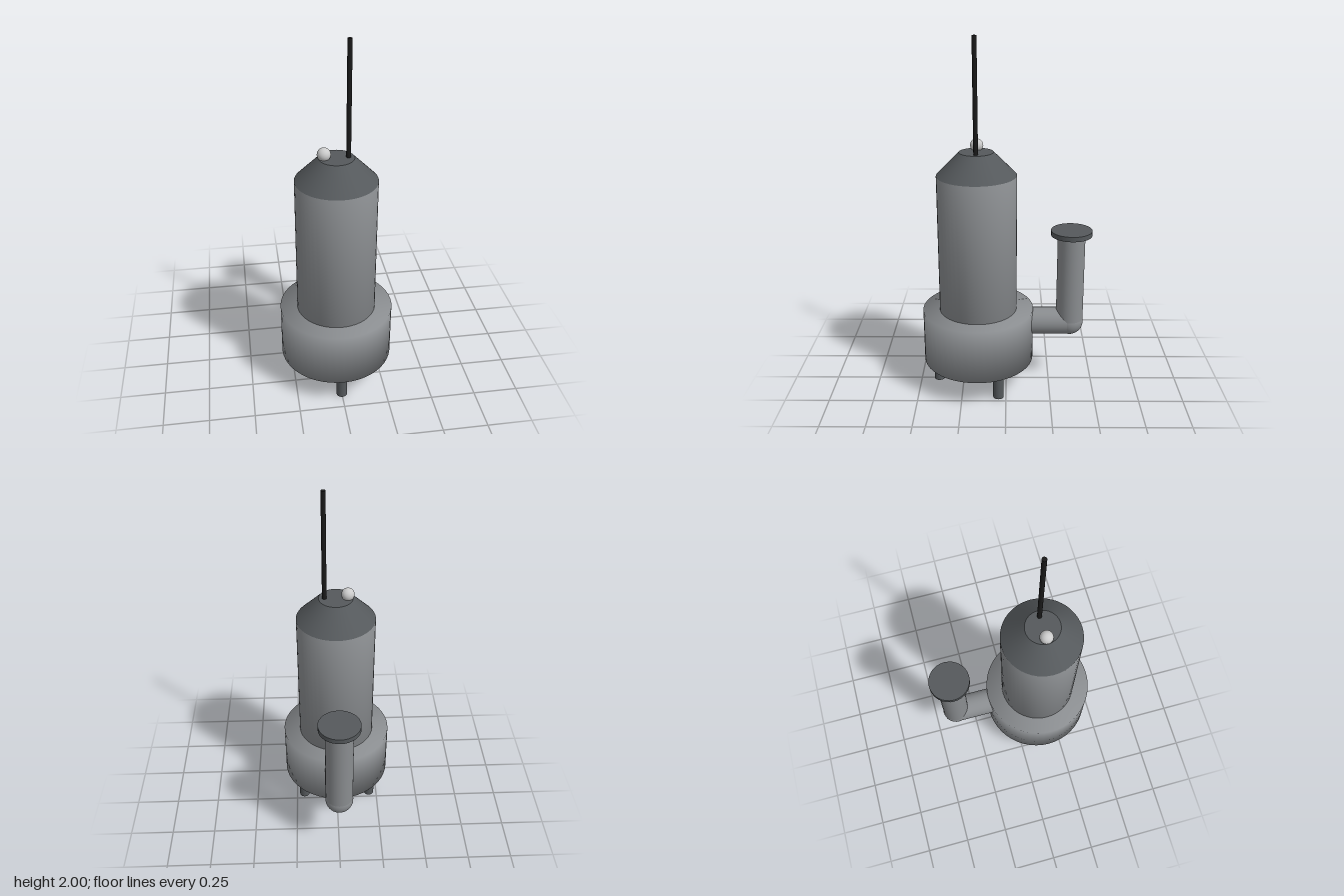
import * as THREE from 'three';

const AXIS_Z = 0.16;  // pump axis
const PIPE_Z = -0.365; // riser axis
const PIPE_Y = 0.382;

const paint = (color) => new THREE.MeshStandardMaterial({ color });
const steel = paint(0x8a8d90);
const dark = paint(0x55595c);
const black = paint(0x1a1a1a);
const bright = paint(0xcccccc);

export function createModel() {
  const model = new THREE.Group();

  const add = (name, geometry, material, x, y, z, parent = model) => {
    const mesh = new THREE.Mesh(geometry, material);
    mesh.name = name;
    mesh.position.set(x, y, z);
    parent.add(mesh);
    return mesh;
  };

  // Upright cylinder or cone frustum between two heights
  const column = (name, rTop, rBottom, y0, y1, x, z, material, segments = 32) =>
    add(name, new THREE.CylinderGeometry(rTop, rBottom, y1 - y0, segments), material, x, (y0 + y1) / 2, z);

  // Softly shaded closed drum turned from a profile
  const drum = (name, radius, y0, y1) => {
    const profile = [[0, y0], [radius, y0], [radius, y1], [0, y1]].map(([r, y]) => new THREE.Vector2(r, y));
    return add(name, new THREE.LatheGeometry(profile, 48), steel, 0, 0, AXIS_Z);
  };

  // Pump body
  drum('pumpHousing', 0.315, 0.155, 0.465);
  drum('motorBody', 0.22, 0.465, 1.255);
  column('topCone', 0.094, 0.22, 1.255, 1.383, 0, AXIS_Z, dark, 48);

  // Cable and float ball on the cap
  column('powerCable', 0.0125, 0.0125, 1.37, 2, 0.0625, AXIS_Z, black, 16);
  add('floatBall', new THREE.SphereGeometry(0.036, 24, 16), bright, -0.065, 1.405, AXIS_Z);

  // Discharge pipe: outlet, elbow, riser and flange
  const outlet = add('outletPipe', new THREE.CylinderGeometry(0.077, 0.077, 0.265, 32), steel, 0, PIPE_Y, -0.2325);
  outlet.rotation.x = Math.PI / 2;
  add('pipeElbow', new THREE.SphereGeometry(0.079, 32, 20), steel, 0, PIPE_Y, PIPE_Z);
  column('riserPipe', 0.077, 0.077, PIPE_Y, 0.91, 0, PIPE_Z, steel);
  column('pipeFlange', 0.115, 0.115, 0.91, 0.938, 0, PIPE_Z, dark);

  // Three legs, one at the front
  for (let i = 0; i < 3; i++) {
    const a = (i * Math.PI * 2) / 3;
    column('leg', 0.03, 0.03, 0, 0.16, 0.235 * Math.sin(a), AXIS_Z + 0.235 * Math.cos(a), dark, 20);
  }

  // Impeller with six blades
  const impeller = new THREE.Group();
  impeller.name = 'impeller';
  impeller.position.set(0, 0.08, AXIS_Z);
  model.add(impeller);
  add('impellerHub', new THREE.CylinderGeometry(0.04, 0.04, 0.03, 24), dark, 0, 0, 0, impeller);
  for (let i = 0; i < 6; i++) {
    const a = (i * Math.PI) / 3;
    const blade = add('impellerBlade', new THREE.BoxGeometry(0.095, 0.02, 0.035), dark,
      0.068 * Math.cos(a), 0, -0.068 * Math.sin(a), impeller);
    blade.rotation.y = a;
  }

  return model;
}
